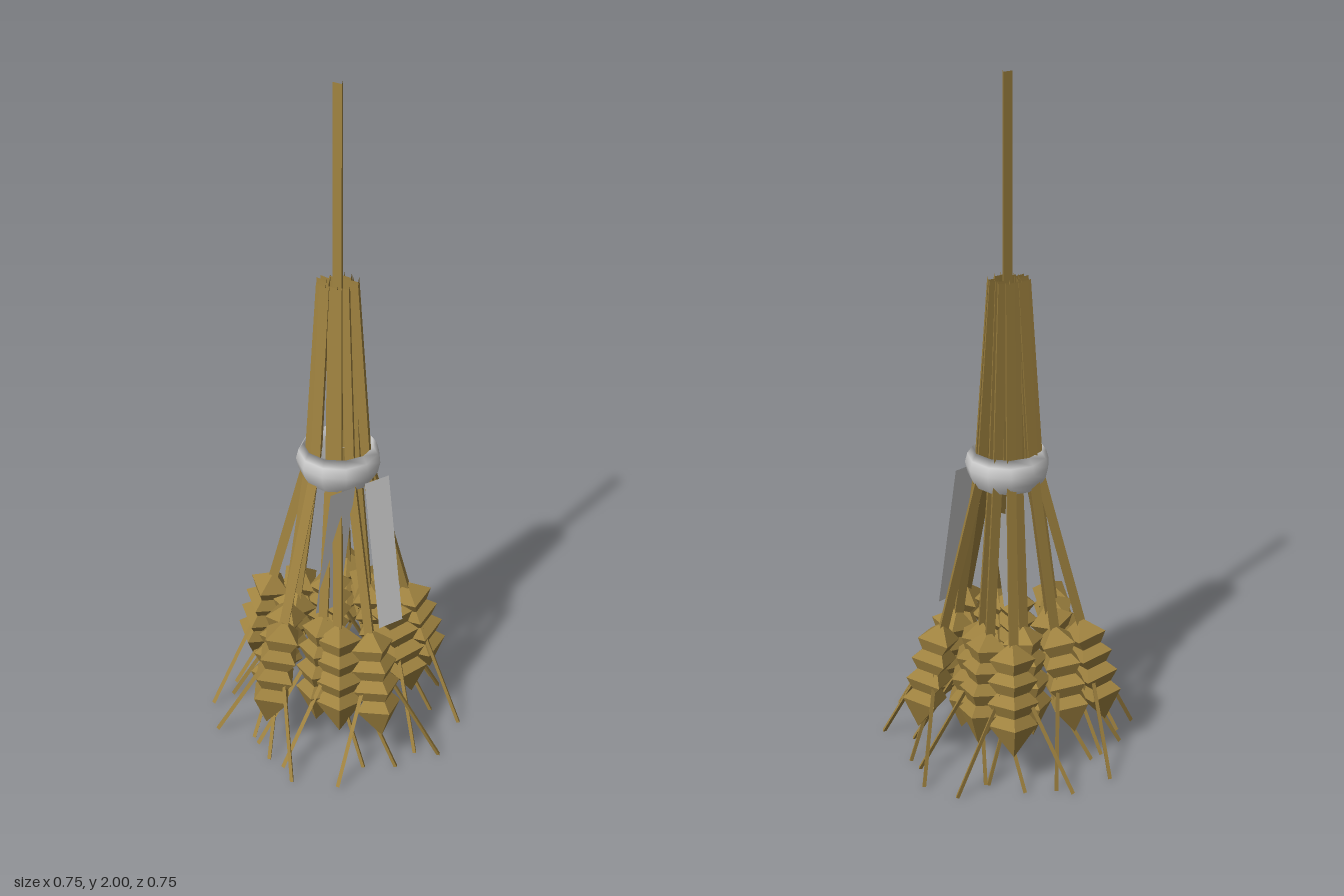
import * as THREE from 'three';

const straw = new THREE.MeshStandardMaterial({ color: 0xa08340 });
straw.name = 'straw';
straw.flatShading = true;
const silver = new THREE.MeshStandardMaterial({ color: 0xd0d0d0, side: THREE.DoubleSide });
silver.name = 'silver';

const UP = new THREE.Vector3(0, 1, 0);

// Open three-sided straw running from point a (top) to point b (bottom)
function rod(name, a, b, radius) {
  const axis = a.clone().sub(b);
  const geo = new THREE.CylinderGeometry(radius, radius, axis.length(), 3, 1, true);
  geo.rotateY(-0.17);
  const mesh = new THREE.Mesh(geo, straw);
  mesh.name = name;
  mesh.position.copy(a).add(b).multiplyScalar(0.5);
  mesh.quaternion.setFromUnitVectors(UP, axis.normalize());
  return mesh;
}

// Flat strip of ribbon hanging at x, from top to bottom
function ribbon(x, yTop, zTop, yBottom, zBottom, width) {
  const length = Math.hypot(yTop - yBottom, zBottom - zTop);
  const mesh = new THREE.Mesh(new THREE.PlaneGeometry(width, length), silver);
  mesh.name = 'ribbonTail';
  mesh.position.set(x, (yTop + yBottom) / 2, (zTop + zBottom) / 2);
  mesh.rotation.x = -Math.atan2(zBottom - zTop, yTop - yBottom);
  return mesh;
}

const toProfile = (points) => points.map(([r, y]) => new THREE.Vector2(r, y));

// Stepped ear of grain, bottom to top, hanging below its own origin
const earProfile = toProfile([
  [0, -0.33], [0.07, -0.235], [0.046, -0.205], [0.074, -0.17], [0.046, -0.14],
  [0.072, -0.105], [0.044, -0.078], [0.066, -0.042], [0.012, 0], [0, 0],
]);

// Bulging band, closed on its inner side
const bandProfile = toProfile([
  [0.098, 0.835], [0.114, 0.862], [0.121, 0.893], [0.114, 0.92], [0.1, 0.941],
  [0.098, 0.89], [0.098, 0.835],
]);

// Ears on the ground plan: [x, z]
const ears = [
  [-0.13, -0.22], [-0.03, -0.20], [0.16, -0.18], [0.05, -0.13], [0.17, -0.07],
  [0.14, 0.01], [0.23, 0.09], [0.125, 0.14], [-0.035, 0.25], [-0.11, 0.17],
  [-0.13, 0.10], [-0.25, 0.045], [-0.19, -0.04], [-0.13, -0.09],
];

export function createModel() {
  const model = new THREE.Group();
  model.name = 'grainSheaf';

  for (const [x, z] of ears) {
    const angle = Math.atan2(x, z);
    const spread = Math.hypot(x, z);
    const reach = spread - 0.038;
    const inner = spread < 0.18;
    const at = (r, y, side = 0) => new THREE.Vector3(
      r * Math.sin(angle) + side * Math.cos(angle), y,
      r * Math.cos(angle) - side * Math.sin(angle));
    const plant = new THREE.Group();
    plant.name = 'grainStalk';

    // Stem, bent where the band gathers it; inner plants sit nearer the middle
    const knee = at(inner ? 0.06 : 0.085, 0.88);
    plant.add(rod('upperStem', at(inner ? 0.034 : 0.046, 1.44), knee, 0.018));
    plant.add(rod('lowerStem', knee, at(reach, 0.40), 0.018));

    // Ear leaning outward, one corner pointing away from the middle
    const ear = new THREE.Mesh(new THREE.LatheGeometry(earProfile, 4), straw);
    ear.name = 'ear';
    ear.position.copy(at(reach, 0.42));
    ear.rotation.set(-0.24, angle, 0, 'YXZ');
    plant.add(ear);

    // Pair of spreading awns
    for (const side of [-0.165, 0.165]) {
      plant.add(rod('awn', at(reach + 0.015, 0.36), at(spread + 0.09, 0.003, side), 0.007));
    }
    model.add(plant);
  }

  // Tall middle straw
  model.add(rod('centreStraw', new THREE.Vector3(-0.008, 2, 0.014),
    new THREE.Vector3(-0.008, 0.88, 0.014), 0.017));

  // Band around the stems
  const band = new THREE.Mesh(new THREE.LatheGeometry(bandProfile, 11, 3.02), silver);
  band.name = 'band';
  band.position.set(-0.003, 0, 0.005);
  model.add(band);

  // Two ribbon tails hanging from the band
  model.add(ribbon(0.049, 0.86, 0.12, 0.41, 0.20, 0.082));
  model.add(ribbon(-0.065, 0.86, 0.12, 0.41, 0.04, 0.082));

  return model;
}
